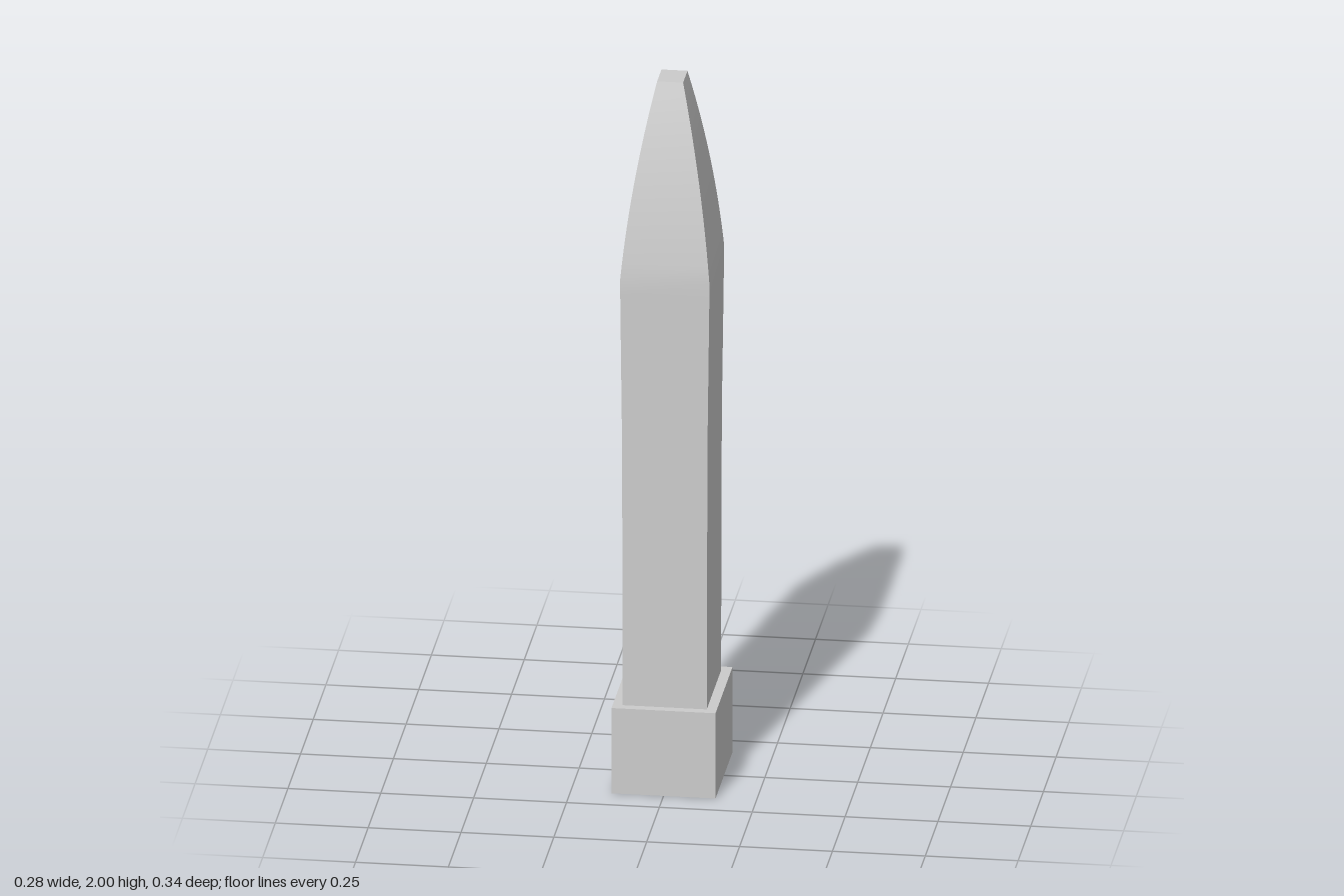
import * as THREE from 'three';
import { toCreasedNormals } from 'three/addons/utils/BufferGeometryUtils.js';

const material = new THREE.MeshStandardMaterial({ color: 0xcccccc });

// Rings of the post: [height, half width, half depth, z offset]
const rings = [
  [0.2, 0.113, 0.141, 0.002],
  [1.0, 0.115, 0.142, 0.001],
  [1.25, 0.118, 0.144, -0.001],
  [1.42, 0.12, 0.1445, -0.002],
];

// The head narrows in a gentle convex curve to a small flat tip
const HEAD_STEPS = 12;
for (let i = 0; i <= HEAD_STEPS; i++) {
  const t = i / HEAD_STEPS;
  const k = 0.55 * t + 0.45 * t * t;
  rings.push([
    THREE.MathUtils.lerp(1.47, 2, t),
    THREE.MathUtils.lerp(0.12, 0.035, k),
    THREE.MathUtils.lerp(0.1445, 0.043, k),
    THREE.MathUtils.lerp(-0.002, -0.006, k),
  ]);
}

// A segmented box whose rows are moved onto the rings
function createPostGeometry() {
  const rows = rings.length - 1;
  const geometry = new THREE.BoxGeometry(2, 1, 2, 1, rows, 1);
  const p = geometry.attributes.position;
  for (let i = 0; i < p.count; i++) {
    const [y, halfWidth, halfDepth, offset] = rings[Math.round((p.getY(i) + 0.5) * rows)];
    p.setXYZ(i, p.getX(i) * halfWidth, y, p.getZ(i) * halfDepth + offset);
  }
  return toCreasedNormals(geometry, 0.5);
}

export function createModel() {
  const group = new THREE.Group();
  group.name = 'pointedPost';

  // Square-edged plinth
  const base = new THREE.Mesh(new THREE.BoxGeometry(0.28, 0.245, 0.335), material);
  base.name = 'base';
  base.position.y = 0.1225;

  // Straight shaft with tapered head
  const post = new THREE.Mesh(createPostGeometry(), material);
  post.name = 'post';

  group.add(base, post);
  return group;
}
